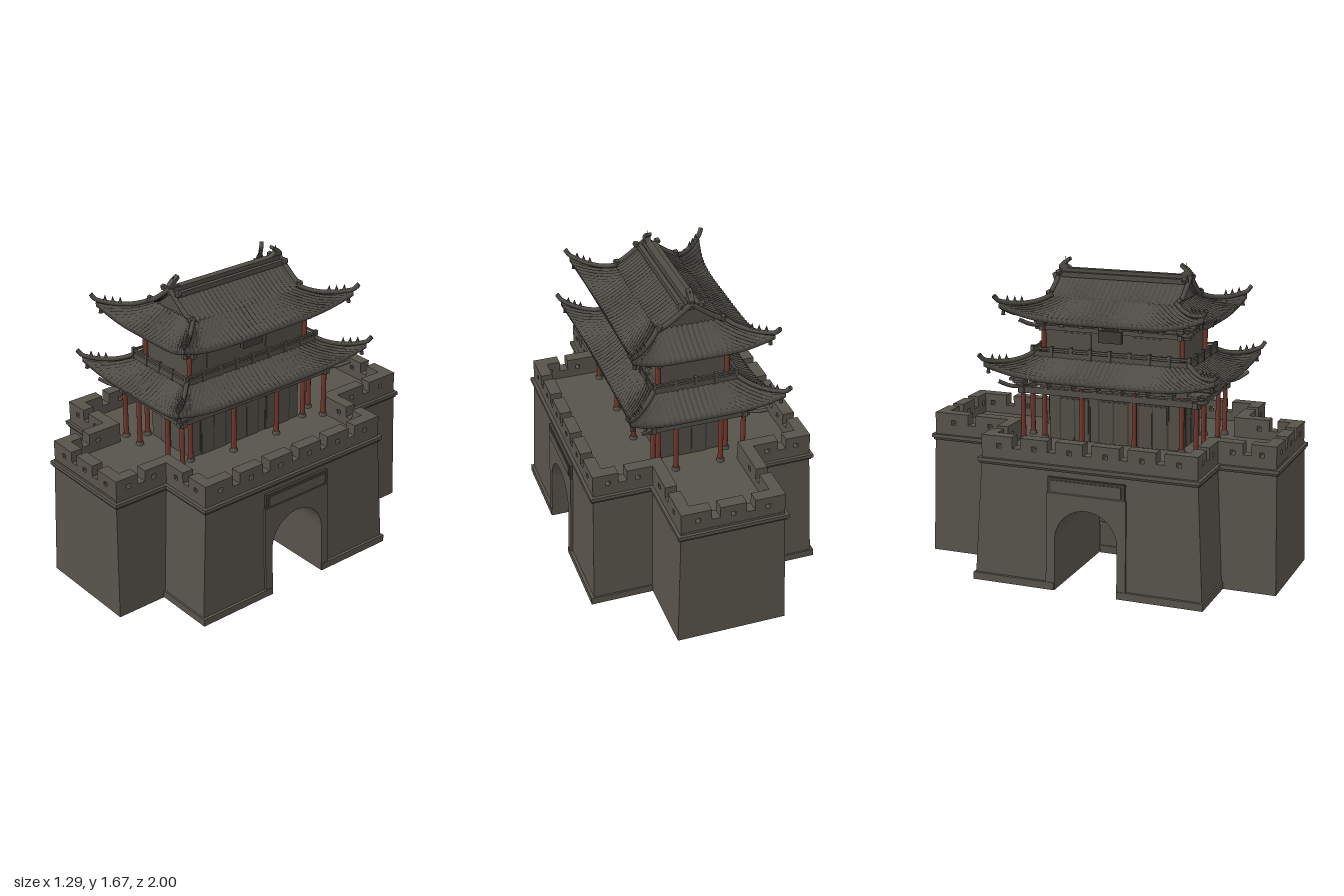
import * as THREE from 'three';

const mat = (name, color, extra = {}) => new THREE.MeshStandardMaterial({ name, color, ...extra });
const lerp = THREE.MathUtils.lerp;

export function createModel() {
  const stone = mat('stone', 0x57534b);
  const tile = mat('roofTile', 0x4f4c46, { side: THREE.DoubleSide });
  const timber = mat('timber', 0x524e47);
  const dark = mat('darkTrim', 0x3f3b36);
  const red = mat('redLacquer', 0x70362c);

  const model = new THREE.Group();
  model.name = 'gateTower';
  const group = (name, parent = model) => {
    const g = new THREE.Group(); g.name = name; parent.add(g); return g;
  };
  const add = (parent, name, geo, m, x = 0, y = 0, z = 0) => {
    const mesh = new THREE.Mesh(geo, m);
    mesh.name = name; mesh.position.set(x, y, z); parent.add(mesh); return mesh;
  };
  // box given by half sizes in x and z and a bottom and top
  const slab = (p, name, m, hx, hz, y0, y1, x = 0, z = 0) =>
    add(p, name, new THREE.BoxGeometry(hx * 2, y1 - y0, hz * 2), m, x, (y0 + y1) / 2, z);
  const tube = (p, name, pts, r, m, n = 14) =>
    add(p, name, new THREE.TubeGeometry(new THREE.CatmullRomCurve3(pts), n, r, 6), m);
  const V = (x, y, z) => new THREE.Vector3(x, y, z);
  const warp = (geo, fn) => {
    const p = geo.attributes.position;
    for (let i = 0; i < p.count; i++) { const v = V(0, 0, 0).fromBufferAttribute(p, i); fn(v); p.setXYZ(i, v.x, v.y, v.z); }
    geo.computeVertexNormals();
    return geo;
  };
  // surface from a function of (column, row)
  const grid = (fn, nu, nv) => {
    const pos = [], idx = [];
    for (let j = 0; j <= nv; j++) for (let i = 0; i <= nu; i++) {
      pos.push(...fn(i / nu, j));
      if (i < nu && j < nv) {
        const a = j * (nu + 1) + i, c = a + nu + 1;
        idx.push(a, a + 1, c, a + 1, c + 1, c);
      }
    }
    const g = new THREE.BufferGeometry();
    g.setAttribute('position', new THREE.Float32BufferAttribute(pos, 3));
    g.setIndex(idx); g.computeVertexNormals();
    return g;
  };

  // ---------- masonry base with an arched passage ----------
  const base = group('gateBase');
  const H = 0.69, GZ = 0.065, R = 0.175, SPRING = 0.275;
  const archedShape = (w0, w1, h) => {
    const s = new THREE.Shape();
    s.moveTo(-w0, 0); s.lineTo(-w1, h); s.lineTo(w1, h); s.lineTo(w0, 0); s.lineTo(R, 0); s.lineTo(R, SPRING);
    s.absarc(0, SPRING, R, 0, Math.PI, false);
    s.lineTo(-R, 0); s.closePath();
    return s;
  };
  const alongX = (shape, depth) => new THREE.ExtrudeGeometry(shape, { depth, bevelEnabled: false, curveSegments: 20 })
    .translate(0, 0, -depth / 2).rotateY(-Math.PI / 2);
  add(base, 'mainWall', warp(alongX(archedShape(0.64, 0.6, H), 1.26), v => { v.x *= 1 - 0.04 * v.y / H; }), stone, 0, 0, GZ);
  slab(base, 'plinthFront', stone, 0.645, 0.235, 0, 0.04, 0, 0.477);
  slab(base, 'plinthBack', stone, 0.645, 0.235, 0, 0.04, 0, -0.347);
  for (const s of [1, -1]) {
    add(base, 'bastion', warp(new THREE.BoxGeometry(0.6, H, 0.6).translate(0, H / 2, s * 0.7), v => {
      const t = v.y / H; v.x *= 1 - 0.067 * t; if (Math.abs(v.z) > 0.9) v.z *= 1 - 0.018 * t;
    }), stone);
    // gate surround and blank name board
    add(base, 'gateSurround', warp(alongX(archedShape(0.225, 0.22, 0.53), 0.03), v => { v.x -= s * 0.035 * v.y; }), stone, s * 0.627, 0, GZ);
    slab(base, 'boardFrame', dark, 0.012, 0.215, 0.525, 0.615, s * 0.612, GZ);
    slab(base, 'boardPanel', stone, 0.012, 0.195, 0.54, 0.6, s * 0.617, GZ);
    // gate leaves with rails and ring
    slab(base, 'gateLeaf', timber, 0.012, 0.084, 0, 0.295, 0, GZ + s * 0.087);
    for (const y of [0.03, 0.17, 0.28]) slab(base, 'gateRail', timber, 0.018, 0.084, y, y + 0.015, 0, GZ + s * 0.087);
    add(base, 'gateRing', new THREE.TorusGeometry(0.018, 0.005, 6, 14).rotateY(Math.PI / 2), dark, s * 0.021, 0.15, GZ);
  }

  // ---------- battlements and cornice around the outline ----------
  const walls = group('battlements');
  const outline = [[0.28, 0.98], [-0.28, 0.98], [-0.28, 0.665], [-0.605, 0.665], [-0.605, -0.535], [-0.28, -0.535],
    [-0.28, -0.98], [0.28, -0.98], [0.28, -0.535], [0.605, -0.535], [0.605, 0.665], [0.28, 0.665]];
  outline.forEach(([x, z], i) => {
    const [x2, z2] = outline[(i + 1) % outline.length];
    const L = Math.hypot(x2 - x, z2 - z), n = Math.round(L / 0.19), p = L / n;
    const g = group('battlementSide', walls);
    g.position.set(x, 0, z); g.rotation.y = Math.atan2(z - z2, x2 - x);
    const s = new THREE.Shape();
    s.moveTo(0, 0.66); s.lineTo(L, 0.66); s.lineTo(L, 0.8);
    for (let k = n - 1; k > 0; k--) {
      const c = k * p;
      s.lineTo(c + 0.023, 0.8); s.lineTo(c + 0.023, 0.74); s.lineTo(c - 0.023, 0.74); s.lineTo(c - 0.023, 0.8);
    }
    s.lineTo(0, 0.8); s.closePath();
    for (let k = 0; k < n; k++) {
      const c = (k + 0.5) * p, h = new THREE.Path();
      h.moveTo(c - 0.013, 0.735); h.lineTo(c - 0.013, 0.76); h.lineTo(c + 0.013, 0.76); h.lineTo(c + 0.013, 0.735); h.closePath();
      s.holes.push(h);
    }
    add(g, 'parapet', new THREE.ExtrudeGeometry(s, { depth: 0.065, bevelEnabled: false }), stone);
    slab(g, 'cornice', stone, L / 2 + 0.018, 0.03, 0.658, 0.678, L / 2, 0.012);
    slab(g, 'corniceLine', dark, L / 2 + 0.01, 0.03, 0.645, 0.658, L / 2, 0.02);
  });
  for (const x of [0.2475, -0.2475]) for (const z of [0.6325, -0.5025]) slab(walls, 'innerCorner', stone, 0.0325, 0.0325, 0.66, 0.8, x, z);

  // ---------- two-storey timber hall ----------
  const hall = group('hall');
  hall.position.z = 0.04;
  slab(hall, 'lowerRoom', timber, 0.17, 0.375, H, 1.0);
  slab(hall, 'attic', timber, 0.215, 0.43, 0.99, 1.16);
  slab(hall, 'upperRoom', timber, 0.185, 0.385, 1.15, 1.42);
  const column = (x, z, y0, y1) => {
    add(hall, 'column', new THREE.CylinderGeometry(0.013, 0.014, y1 - y0, 10), red, x, (y0 + y1) / 2, z);
    add(hall, 'columnBase', new THREE.CylinderGeometry(0.018, 0.022, 0.02, 10), stone, x, y0 + 0.01, z);
  };
  for (const s of [1, -1]) {
    for (const z of [0.495, 0.15, -0.15, -0.495]) column(s * 0.25, z, H, 1.0);
    for (const z of [0.495, -0.495]) column(s * 0.125, z, H, 1.0);
    for (const z of [0.395, -0.395]) { column(s * 0.19, z, H, 1.0); column(s * 0.19, z, 1.16, 1.37); }
    // beams, doors and upper sign
    slab(hall, 'sideBeam', timber, 0.014, 0.52, 0.955, 0.99, s * 0.25, 0);
    slab(hall, 'endBeam', timber, 0.28, 0.014, 0.955, 0.99, 0, s * 0.495);
    for (const z of [-0.225, 0, 0.225]) {
      slab(hall, 'sideDoorFrame', dark, 0.003, 0.09, H, 0.93, s * 0.17, z);
      for (const d of [-0.042, 0.042]) slab(hall, 'sideDoor', timber, 0.004, 0.038, H, 0.92, s * 0.172, z + d);
    }
    slab(hall, 'endDoorFrame', dark, 0.09, 0.003, H, 0.93, 0, s * 0.376);
    for (const d of [-0.042, 0.042]) slab(hall, 'endDoor', timber, 0.038, 0.004, H, 0.92, d, s * 0.378);
    slab(hall, 'upperSign', dark, 0.012, 0.065, 1.255, 1.32, s * 0.215, 0);
    for (const z of [-0.2, 0.2]) slab(hall, 'upperWindow', timber, 0.004, 0.08, 1.2, 1.29, s * 0.186, z);
    slab(hall, 'upperSideBeam', timber, 0.012, 0.44, 1.3, 1.325, s * 0.192, 0);
    slab(hall, 'upperEndBeam', timber, 0.235, 0.012, 1.3, 1.325, 0, s * 0.392);
    // balcony rails
    for (const [y0, y1] of [[1.155, 1.185], [1.195, 1.207]]) {
      slab(hall, 'sideRail', timber, 0.006, 0.45, y0, y1, s * 0.225, 0);
      slab(hall, 'endRail', timber, 0.225, 0.006, y0, y1, 0, s * 0.445);
    }
    for (let k = 0; k <= 8; k++) slab(hall, 'railPost', timber, 0.009, 0.009, 1.15, 1.215, s * 0.225, lerp(-0.445, 0.445, k / 8));
    for (const x of [-0.11, 0, 0.11]) slab(hall, 'railPost', timber, 0.009, 0.009, 1.15, 1.215, x, s * 0.445);
  }
  slab(hall, 'balconyFloor', timber, 0.23, 0.45, 1.14, 1.16);

  // stepped eave brackets around a rectangle
  const brackets = (hx, hz, y, nx, nz) => {
    const one = (x, z, ry) => {
      const g = group('eaveBracket', hall); g.position.set(x, y, z); g.rotation.y = ry;
      for (let k = 0; k < 3; k++) slab(g, 'bracketArm', timber, 0.012 + k * 0.009, 0.018 + k * 0.012, k * 0.018, k * 0.018 + 0.013, 0, k * 0.014);
    };
    for (const s of [1, -1]) {
      for (let k = 0; k <= nx; k++) one(lerp(-hx, hx, k / nx), s * hz, s > 0 ? 0 : Math.PI);
      for (let k = 0; k <= nz; k++) one(s * hx, lerp(-hz, hz, k / nz), s * Math.PI / 2);
      for (const q of [1, -1]) tube(hall, 'cornerBeam', [V(s * (hx - 0.02), y, q * (hz - 0.02)), V(s * (hx + 0.05), y + 0.012, q * (hz + 0.05)), V(s * (hx + 0.1), y + 0.045, q * (hz + 0.1))], 0.011, timber, 6);
    }
  };
  brackets(0.25, 0.495, 0.985, 4, 7);
  brackets(0.195, 0.395, 1.32, 4, 7);

  // ---------- curved tiled roofs ----------
  const RIB = 0.028, rib = s => 0.006 * Math.cos(2 * Math.PI * s / RIB);
  const C = [[1, 1], [-1, 1], [-1, -1], [1, -1]];
  const skirtRoof = (name, o) => {
    const g = group(name, hall);
    const at = (k, t, v) => {
      const a = C[k], b = C[(k + 1) % 4], cx = lerp(a[0], b[0], t), cz = lerp(a[1], b[1], t);
      const e = Math.abs(2 * t - 1) ** 5 * v * v;
      const x = cx * (lerp(o.hx0, o.hx1, v) + o.flare * e), z = cz * (lerp(o.hz0, o.hz1, v) + o.flare * e);
      return V(x, o.y1 + (o.y0 - o.y1) * (1 - v) ** 1.35 + o.lift * e, z);
    };
    for (let k = 0; k < 4; k++) {
      add(g, 'tiledSlope', grid((t, j) => {
        const top = j <= 7, p = at(k, t, (top ? j : 15 - j) / 7);
        return [p.x, p.y + (top ? rib(k % 2 ? p.z : p.x) : -0.025), p.z];
      }, k % 2 ? 168 : 96, 15), tile);
      // hip ridge with upturned tip, small guardians and a hanging bell
      const pts = [0, 0.25, 0.5, 0.75, 0.92, 1].map(v => at(k, 0, v).add(V(0, 0.014, 0)));
      const tip = pts[5].clone().add(V(C[k][0] * 0.018, 0.028, C[k][1] * 0.018));
      tube(g, 'hipRidge', [...pts, tip], 0.013, tile, 20);
      for (const v of [0.62, 0.74, 0.86]) {
        const p = at(k, 0, v);
        add(g, 'ridgeGuardian', new THREE.ConeGeometry(0.012, 0.035, 6), tile, p.x, p.y + 0.038, p.z);
      }
      const c = at(k, 0, 0.93);
      add(g, 'eaveBell', new THREE.CylinderGeometry(0.006, 0.012, 0.03, 8), dark, c.x, c.y - 0.04, c.z);
    }
    return g;
  };
  skirtRoof('lowerRoof', { hx0: 0.215, hz0: 0.43, y0: 1.17, hx1: 0.375, hz1: 0.6, y1: 1.07, lift: 0.075, flare: 0.045 });
  const upper = skirtRoof('upperRoof', { hx0: 0.17, hz0: 0.35, y0: 1.475, hx1: 0.335, hz1: 0.525, y1: 1.385, lift: 0.075, flare: 0.045 });

  // gabled crown
  const GX = 0.18, GH = 0.37, gableY = v => 1.472 + 0.123 * (1 - v) ** 1.2;
  const gable = new THREE.Shape();
  gable.moveTo(-0.17, 1.45); gable.lineTo(0.17, 1.45); gable.lineTo(0.085, gableY(0.5) - 0.012); gable.lineTo(0, 1.585);
  gable.lineTo(-0.085, gableY(0.5) - 0.012); gable.closePath();
  add(upper, 'gableEnds', new THREE.ExtrudeGeometry(gable, { depth: 0.69, bevelEnabled: false }), timber, 0, 0, -0.345);
  for (const s of [1, -1]) {
    add(upper, 'crownSlope', grid((t, j) => {
      const z = s * lerp(-GH, GH, t), v = j / 6;
      return [s * GX * v, gableY(v) + rib(z), z];
    }, 108, 6), tile);
    for (const q of [1, -1]) {
      tube(upper, 'gableRidge', [0, 0.35, 0.7, 1].map(v => V(s * GX * v, gableY(v) + 0.008, q * GH)), 0.014, tile);
      add(upper, 'gableRidgeEnd', new THREE.DodecahedronGeometry(0.02), tile, s * 0.17, 1.495, q * GH);
      add(upper, 'gableKnob', new THREE.DodecahedronGeometry(0.02), tile, s * 0.06, 1.59, q * 0.36);
    }
    slab(upper, 'ridgeRoll', tile, 0.012, 0.36, 1.565, 1.592, s * 0.042, 0);
    // hooked ridge finial
    const f = new THREE.Shape();
    f.moveTo(-0.035, 1.57); f.lineTo(0.03, 1.57); f.lineTo(0.035, 1.62); f.lineTo(0.012, 1.645);
    f.lineTo(-0.025, 1.668); f.lineTo(-0.03, 1.652); f.lineTo(-0.005, 1.63); f.lineTo(-0.035, 1.61); f.closePath();
    const fin = add(upper, 'ridgeFinial', new THREE.ExtrudeGeometry(f, { depth: 0.03, bevelEnabled: false }).translate(0, 0, -0.015), tile, 0, 0, s * 0.345);
    fin.rotation.y = -s * Math.PI / 2;
    add(upper, 'finialSpike', new THREE.ConeGeometry(0.01, 0.06, 6), tile, 0, 1.64, s * 0.345);
  }
  slab(upper, 'mainRidge', tile, 0.02, 0.36, 1.56, 1.61);
  return model;
}
